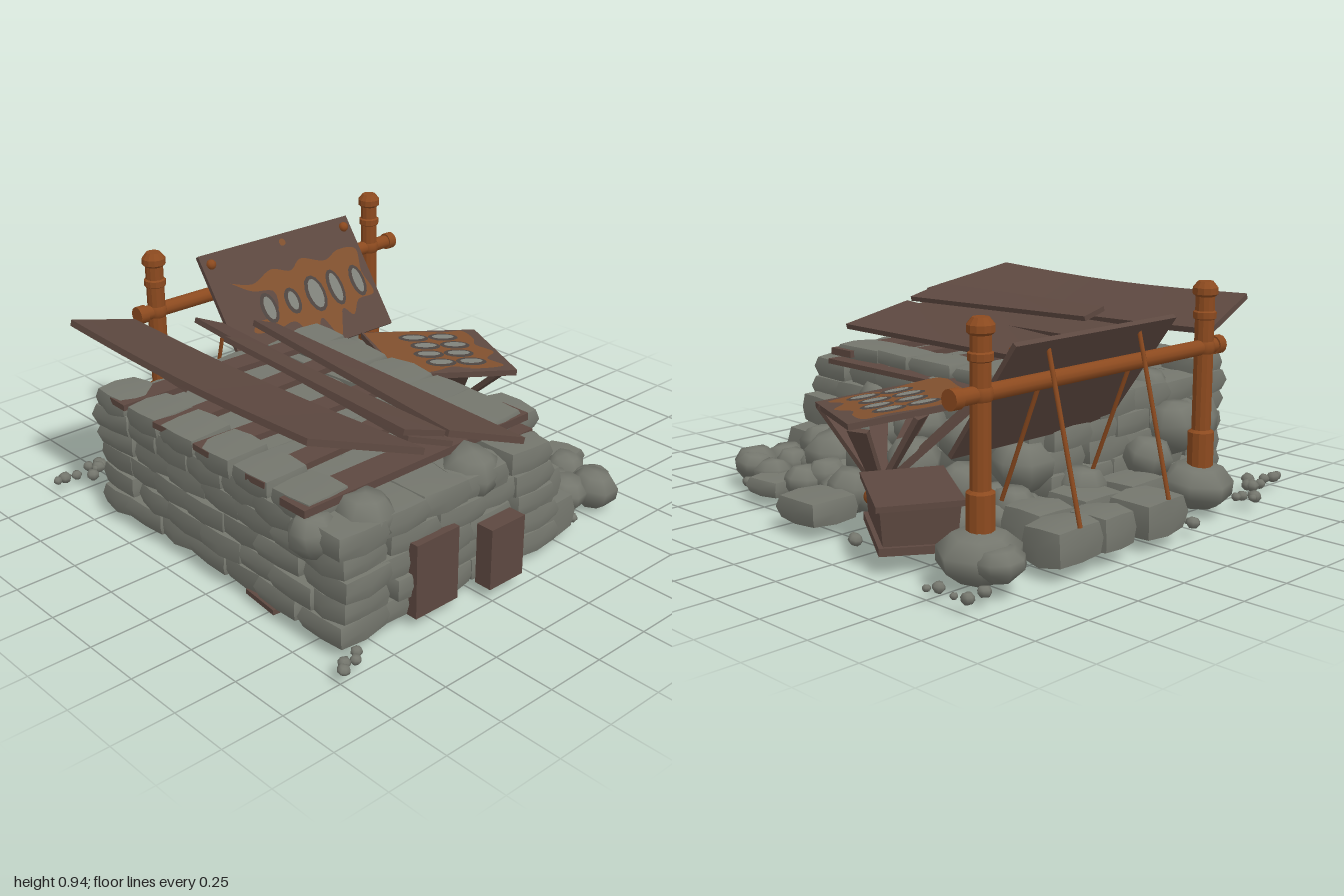
import * as THREE from 'three';
import { mergeVertices } from 'three/addons/utils/BufferGeometryUtils.js';

const mat = (name, color, side = THREE.FrontSide) => {
  const m = new THREE.MeshStandardMaterial({ color, side });
  m.name = name;
  return m;
};

export function createModel() {
  const root = new THREE.Group();
  root.name = 'ruinedStoneHut';
  const stone = mat('stone', 0x74766d), wood = mat('wood', 0x5d4840), rust = mat('rustyMetal', 0x8c4a1f);
  const paint = mat('rustPatch', 0x80502e, THREE.DoubleSide);
  const rim = mat('darkRim', 0x4d4440, THREE.DoubleSide), pale = mat('bareMetal', 0x7f817a, THREE.DoubleSide);
  const V = (x, y, z) => new THREE.Vector3(x, y, z);
  let seed = 7;
  const rnd = (a = 0, b = 1) => {
    seed = (seed * 16807) % 2147483647;
    return a + (b - a) * (seed / 2147483647);
  };
  const group = (name, parent = root) => {
    const g = new THREE.Group();
    g.name = name;
    parent.add(g);
    return g;
  };
  const add = (parent, name, geo, material, x = 0, y = 0, z = 0) => {
    const m = new THREE.Mesh(geo, material);
    m.name = name;
    m.position.set(x, y, z);
    parent.add(m);
    return m;
  };
  const facet = (geo) => {
    const g = geo.toNonIndexed();
    g.computeVertexNormals();
    return g;
  };
  const smooth = (geo) => {
    geo.deleteAttribute('normal');
    geo.deleteAttribute('uv');
    const g = mergeVertices(geo, 1e-4);
    g.computeVertexNormals();
    return g;
  };
  const eachVertex = (geo, fn) => {
    const p = geo.attributes.position, v = V(0, 0, 0);
    for (let i = 0; i < p.count; i++) {
      fn(v.fromBufferAttribute(p, i));
      p.setXYZ(i, v.x, v.y, v.z);
    }
    return geo;
  };

  // Shared stone shapes: unit flat-topped boulders and worn unit blocks
  const wobble = (v, k) => Math.sin(v.x * 5.1 + k * 2.3) * Math.cos(v.y * 4.3 - k) + Math.sin(v.z * 6.7 + k * 1.7);
  const lump = [[0, -0.85], [0.55, -0.8], [0.95, -0.25], [0.95, 0.3], [0.6, 0.82], [0, 0.92]].map((p) => new THREE.Vector2(...p));
  const boulders = [0, 1, 2, 3].map((k) => smooth(eachVertex(new THREE.LatheGeometry(lump, 7 + (k % 2)),
    (v) => v.multiplyScalar(1 + 0.05 * wobble(v, k)))));
  const blocks = [0, 1, 2, 3].map((k) => {
    const g = eachVertex(new THREE.BoxGeometry(1, 1, 1, 2, 2, 2), (v) => {
      const outer = [v.x, v.y, v.z].filter((c) => Math.abs(c) > 0.4).length;
      v.multiplyScalar([1, 1.05, 0.97, 0.88][outer] + 0.03 * wobble(v, k));
    });
    g.computeVertexNormals();
    return g;
  });
  const pick = (list) => list[Math.floor(rnd(0, 3.99))];
  const boulder = (g, x, y, z, r, squash = 0.85) => {
    const m = add(g, 'boulder', pick(boulders), stone, x, y, z);
    m.scale.set(r, r * squash, r * rnd(0.85, 1.05));
    m.rotation.set(rnd(-0.2, 0.2), rnd(0, 6), rnd(-0.2, 0.2));
  };
  const block = (g, x, y, z, w, h, d, turn = 0.06, tilt = 0.04) => {
    const m = add(g, 'block', pick(blocks), stone, x, y, z);
    m.scale.set(w, h, d);
    m.rotation.set(rnd(-tilt, tilt), rnd(-turn, turn), rnd(-tilt, tilt));
  };

  // Coursed stone walls filled with blocks
  const walls = group('stoneWalls');
  const rowH = 0.089;
  for (let row = 0; row < 5; row++) {
    const shift = row % 2 ? 0.05 : -0.03, x1 = 0.2 - row * 0.015;
    for (let i = 0; i < 5; i++) for (let j = 0; j < 7; j++) {
      const w = (x1 + 0.92) / 5, d = 0.208;
      const innerX = i > 0 && i < 4, innerZ = j > 0 && j < 6;
      if (row === 0 && innerX && innerZ) continue;
      block(walls, -0.915 + w * (i + 0.5) + (innerX ? shift : 0) + rnd(-0.012, 0.012), 0.1 + row * rowH,
        -0.545 + d * (j + 0.5) + (innerZ ? shift : 0) + rnd(-0.012, 0.012),
        w * (innerX ? 1.13 : 1.06), rowH * 1.08, d * (innerZ ? 1.13 : 1.06));
    }
  }
  for (const [z, d] of [[-0.34, 0.19], [-0.11, 0.27], [0.17, 0.27], [0.4, 0.2], [0.62, 0.28]])
    block(walls, 0.05, 0.548, z, 0.2, 0.06, d, 0.02);
  for (let j = 0; j < 6; j++) block(walls, -0.83, 0.525, -0.44 + j * 0.22, 0.2, 0.085, 0.2);
  for (const [x, y, z, r] of [[-0.72, 0.46, 0.82, 0.125], [-0.2, 0.46, 0.82, 0.115], [-0.89, 0.44, 0.75, 0.1],
    [-0.53, 0.32, -0.59, 0.13], [-0.3, 0.24, -0.64, 0.1], [-0.75, 0.3, -0.52, 0.13], [-0.52, 0.46, -0.45, 0.1]]) boulder(walls, x, y, z, r, 0.9);

  // Collapsed side: rubble slope
  const rubble = group('rubble');
  for (const [x, y, z, r] of [[0.24, 0.27, 0.4, 0.13], [0.39, 0.17, 0.49, 0.12], [0.53, 0.13, 0.36, 0.09],
    [0.46, 0.11, 0.69, 0.08], [0.32, 0.18, 0.65, 0.1], [0.57, 0.1, 0.8, 0.1], [0.22, 0.27, -0.44, 0.13],
    [0.24, 0.34, 0.12, 0.12], [0.25, 0.33, -0.16, 0.12], [0.42, 0.22, 0.22, 0.12], [0.42, 0.24, -0.05, 0.13],
    [0.42, 0.2, -0.32, 0.11], [0.6, 0.13, 0.12, 0.11], [0.62, 0.12, -0.15, 0.1], [0.24, 0.2, 0.55, 0.12],
    [0.58, 0.12, -0.5, 0.1], [0.36, 0.15, -0.53, 0.1], [0.05, 0.18, -0.6, 0.1], [0.12, 0.36, 0.5, 0.1]]) boulder(rubble, x, y, z, r);
  for (let x = 0.25; x < 0.62; x += 0.17) for (let z = -0.5; z < 0.8; z += 0.18)
    boulder(rubble, x + rnd(-0.03, 0.03), 0.11, z + rnd(-0.03, 0.03), rnd(0.08, 0.1), 0.75);
  block(rubble, 0.19, 0.13, 0.81, 0.26, 0.15, 0.2);
  block(rubble, 0.15, 0.28, 0.79, 0.2, 0.13, 0.2);
  block(rubble, 0.16, 0.42, -0.43, 0.16, 0.18, 0.14);
  block(rubble, 0.65, 0.09, 0.52, 0.24, 0.07, 0.17, 0.6);
  block(rubble, 0.79, 0.11, 0.1, 0.22, 0.1, 0.25, 0.5);

  // Uneven underside of tilted stones
  const base = group('foundationRocks');
  for (let x = -0.68; x < 0.05; x += 0.15) for (let z = -0.3; z < 0.7; z += 0.16)
    block(base, x + rnd(-0.02, 0.02), 0.105, z + rnd(-0.02, 0.02), 0.2, 0.09, 0.19, 0.4, 0.35);

  // Rocks carrying the posts and the row between them
  const footing = group('postFooting');
  for (const [x, z, r] of [[-0.43, -0.78, 0.155], [0.8, -0.8, 0.155], [0.81, -0.91, 0.095], [-0.3, -0.64, 0.095]])
    boulder(footing, x, 0.13, z, r, 0.65);
  for (const [x, w] of [[0, 0.23], [0.26, 0.18], [0.47, 0.24]]) block(footing, x, 0.13, -0.88, w, 0.14, 0.2);
  for (const [x, w] of [[-0.14, 0.22], [0.12, 0.24], [0.38, 0.22]]) block(footing, x, 0.13, -0.68, w, 0.14, 0.2);

  // Scattered pebbles
  const pebbles = group('pebbles');
  for (const [x, z, n] of [[-0.62, -0.9, 5], [-0.93, -0.82, 3], [-0.8, -0.78, 6], [0.96, -0.92, 3], [0.98, -0.8, 2],
    [-0.93, 0.97, 4], [0.68, 0.66, 3], [0.35, 0.84, 3], [0.88, -0.18, 1], [-0.17, -0.93, 2], [-0.68, -0.65, 3]])
    for (let i = 0; i < n; i++) boulder(pebbles, x + rnd(-0.07, 0.05), 0.065, z + rnd(-0.05, 0.04), rnd(0.015, 0.03));

  // Warped board through four corners: front-left, front-right, back-right, back-left
  const board = (parent, name, corners, thick = 0.022, sag = 0) => {
    const [a, b, c, d] = corners.map((p) => V(...p));
    const n = b.clone().sub(a).cross(d.clone().sub(a)).normalize();
    const geo = eachVertex(new THREE.BoxGeometry(1, 1, 1, 2, 1, 8), (v) => {
      const u = v.x + 0.5, t = 0.5 - v.z, h = v.y * thick;
      const s = sag * Math.sin(Math.PI * t);
      v.copy(a).lerp(b, u).lerp(d.clone().lerp(c, u), t).addScaledVector(n, h);
      v.y -= s;
    });
    geo.computeVertexNormals();
    return add(parent, name, geo, wood);
  };
  const planks = group('roofPlanks');
  board(planks, 'widePlank', [[-0.95, 0.825, 0.79], [-0.57, 0.72, 0.95], [-0.62, 0.715, -0.69], [-0.95, 0.82, -0.63]], 0.025, 0.02);
  board(planks, 'innerPlank', [[-0.57, 0.755, 0.85], [-0.4, 0.705, 0.88], [-0.43, 0.73, -0.18], [-0.53, 0.765, -0.2]]);
  board(planks, 'middlePlank', [[-0.52, 0.7, 0.82], [-0.36, 0.65, 0.88], [-0.31, 0.67, -0.5], [-0.43, 0.72, -0.53]]);
  board(planks, 'rightPlank', [[-0.37, 0.69, 0.87], [-0.08, 0.6, 0.97], [-0.05, 0.605, -0.48], [-0.19, 0.665, -0.45]], 0.025);

  // Level boards lying on the wall tops
  const beams = group('crossBoards');
  const flat = (name, x, y, z, w, h, d, turn = 0) => add(beams, name, new THREE.BoxGeometry(w, h, d), wood, x, y, z).rotation.y = turn;
  flat('frontBoard', -0.39, 0.545, 0.705, 1.12, 0.03, 0.13);
  [-0.36, -0.1, 0.18, 0.46].forEach((z, i) => flat('crossBoard', -0.48, 0.55, z, 0.9, 0.025, 0.1, i % 2 ? 0.04 : -0.03));
  flat('sideBoard', 0.105, 0.495, 0.2, 0.12, 0.022, 1.2);
  flat('bottomBoard', -0.6, 0.045, 0.5, 0.64, 0.02, 0.18, -0.1);
  // Splayed prop holding up the wide plank
  board(beams, 'plankProp', [[-0.92, 0.79, -0.2], [-0.68, 0.575, -0.25], [-0.53, 0.575, -0.42], [-0.9, 0.79, -0.32]], 0.025);

  // Boards standing against the front wall
  const standing = group('frontBoards');
  add(standing, 'standingBoard', new THREE.BoxGeometry(0.21, 0.3, 0.06), wood, -0.485, 0.205, 0.915);
  add(standing, 'standingBoard', new THREE.BoxGeometry(0.175, 0.25, 0.075), wood, -0.175, 0.185, 0.96);

  // Rusty posts and crossbar
  const rod = (parent, name, a, b, r, sides = 12) => {
    const dir = b.clone().sub(a);
    const m = add(parent, name, new THREE.CylinderGeometry(r, r, dir.length(), sides), rust);
    m.position.copy(a).add(b).multiplyScalar(0.5);
    m.quaternion.setFromUnitVectors(V(0, 1, 0), dir.normalize());
  };
  const frame = group('signFrame');
  const profile = [[0, 0.19], [0.052, 0.19], [0.052, 0.35], [0.038, 0.36], [0.038, 0.8], [0.046, 0.805], [0.046, 0.83],
    [0.038, 0.835], [0.038, 0.89], [0.05, 0.9], [0.05, 0.925], [0.03, 0.95], [0, 0.95]].map((p) => new THREE.Vector2(...p));
  for (const x of [-0.44, 0.785]) {
    add(frame, 'post', facet(new THREE.LatheGeometry(profile, 12)), rust, x, 0, -0.79);
    add(frame, 'joint', new THREE.SphereGeometry(0.046, 12, 8), rust, x, 0.69, -0.79);
  }
  rod(frame, 'crossbar', V(-0.52, 0.69, -0.79), V(0.91, 0.69, -0.79), 0.031);
  for (const x of [-0.52, 0.91]) rod(frame, 'barEnd', V(x - 0.02, 0.69, -0.79), V(x + 0.02, 0.69, -0.79), 0.038);
  for (const x of [0, 0.49]) {
    rod(frame, 'rearStrut', V(x, 0.82, -0.82), V(x, 0.2, -0.98), 0.009, 6);
    rod(frame, 'frontStrut', V(x, 0.7, -0.79), V(x, 0.22, -0.6), 0.009, 6);
  }

  // Painted details as plates just above a panel
  const plate = (g, name, pts, material, z) => {
    const shape = new THREE.Shape();
    shape.moveTo(...pts[0]);
    shape.splineThru([...pts.slice(1), pts[0]].map((p) => new THREE.Vector2(...p)));
    add(g, name, new THREE.ShapeGeometry(shape, 6), material, 0, 0, z);
  };
  const oval = (g, x, y, rx, ry) => {
    for (const [m, e, z] of [[rim, 0.018, 0.017], [pale, 0, 0.02]])
      add(g, 'spot', new THREE.CircleGeometry(1, 14), m, x, y, z).scale.set(rx + e, ry + e, 1);
  };

  // Large tilted sign
  const sign = group('largeSign');
  sign.position.set(0.25, 0.625, -0.685);
  sign.rotation.x = -0.62;
  add(sign, 'signBoard', new THREE.BoxGeometry(0.86, 0.55, 0.02), wood);
  plate(sign, 'rustPatch', [[-0.33, 0.12], [-0.22, 0.09], [-0.1, 0.13], [0, 0.1], [0.08, 0.14], [0.2, 0.1], [0.3, 0.13], [0.4, 0.11],
    [0.38, 0], [0.4, -0.11], [0.3, -0.12], [0.24, -0.18], [0.19, -0.14], [0.12, -0.26], [0.06, -0.15], [-0.02, -0.25], [-0.08, -0.13],
    [-0.2, -0.14], [-0.31, -0.12], [-0.27, -0.08], [-0.16, -0.07], [-0.13, 0.03], [-0.24, 0.06]], paint, 0.0145);
  add(sign, 'rustDot', new THREE.CircleGeometry(0.018, 8), paint, 0.02, 0.235, 0.0145);
  [[-0.19, 0.026, 0.055], [-0.055, 0.024, 0.045], [0.08, 0.037, 0.07], [0.2, 0.026, 0.07], [0.335, 0.024, 0.06]].forEach(
    ([x, rx, ry]) => oval(sign, x, -0.035, rx, ry));
  for (const x of [-0.385, 0.385]) add(sign, 'bolt', new THREE.SphereGeometry(0.023, 8, 6), rust, x, 0.225, 0.015);

  // Small fallen sign on a splayed stand
  const small = group('smallSign');
  const ax = V(0.5, -0.06, 0.21).normalize(), az = V(0, 0, 0).crossVectors(ax, V(0.18, 0.01, -0.42)).normalize();
  small.quaternion.setFromRotationMatrix(new THREE.Matrix4().makeBasis(ax, az.clone().cross(ax), az));
  small.position.set(0.455, 0.48, 0.005);
  add(small, 'signBoard', new THREE.BoxGeometry(0.545, 0.455, 0.025), wood);
  plate(small, 'rustPatch', [[-0.265, 0.215], [-0.05, 0.222], [0.1, 0.2], [0.2, 0.21], [0.22, 0.12], [0.2, 0.05], [0.25, -0.03],
    [0.19, -0.1], [0.23, -0.18], [0.08, -0.2], [0, -0.17], [-0.12, -0.215], [-0.265, -0.215], [-0.26, 0]], paint, 0.0145);
  for (let i = 0; i < 4; i++) for (const x of [-0.06, 0.08]) oval(small, x + (i % 2) * 0.02, 0.14 - i * 0.09, 0.052, 0.024);
  const stand = group('smallSignStand');
  const foot = [0.59, 0.17, -0.04];
  for (const [x, y, z] of [[0.31, 0.49, -0.26], [0.18, 0.49, 0.1], [0.6, 0.45, 0.27], [0.73, 0.43, -0.08], [0.4, 0.48, 0.19], [0.52, 0.47, -0.2]]) {
    const [fx, fy, fz] = foot, side = V(z - fz, 0, fx - x).normalize().multiplyScalar(0.045);
    board(stand, 'splayedLeg', [[fx - side.x / 2, fy, fz - side.z / 2], [fx + side.x / 2, fy, fz + side.z / 2],
      [x + side.x, y, z + side.z], [x - side.x, y, z - side.z]], 0.022);
  }
  add(stand, 'footBall', new THREE.SphereGeometry(0.035, 10, 8), rust, 0.63, 0.145, -0.04);

  // Wooden chest
  const chest = group('chest');
  chest.position.set(0.72, 0, -0.365);
  chest.rotation.y = -0.58;
  const body = eachVertex(new THREE.BoxGeometry(0.29, 0.17, 0.44), (v) => { if (v.y < 0) { v.x *= 0.9; v.z *= 0.94; } });
  add(chest, 'chestBody', facet(body), wood, 0, 0.17, 0);
  add(chest, 'chestLid', new THREE.BoxGeometry(0.32, 0.022, 0.47), wood, 0, 0.262, 0).rotation.z = -0.03;
  add(chest, 'chestBand', new THREE.BoxGeometry(0.3, 0.03, 0.45), wood, 0, 0.1, 0);
  return root;
}
